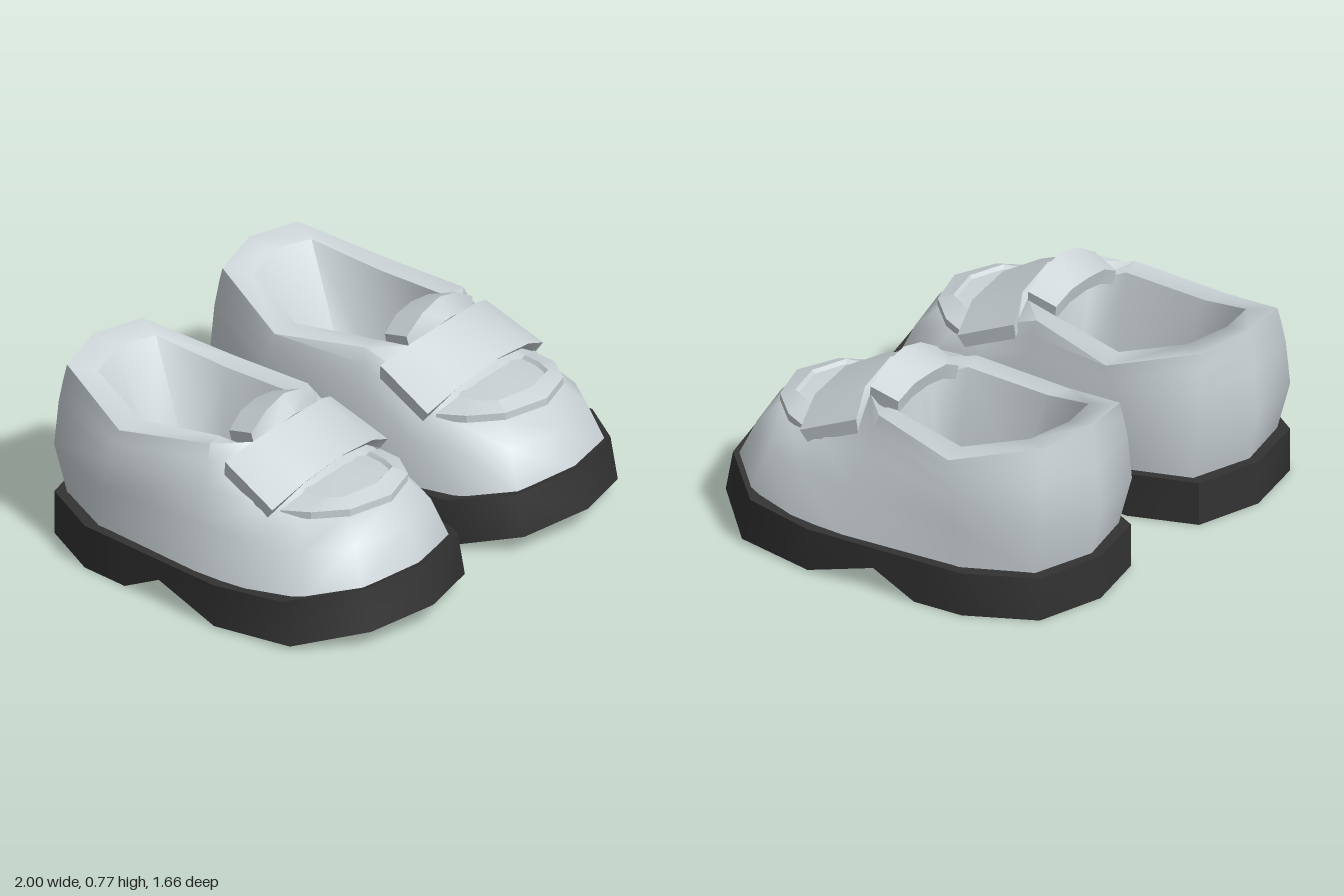
import * as THREE from 'three';
import { toCreasedNormals } from 'three/addons/utils/BufferGeometryUtils.js';

const leather = new THREE.MeshStandardMaterial({ color: 0xcbd3d7 });
leather.name = 'pale grey leather';
leather.side = THREE.DoubleSide;
const rubber = new THREE.MeshStandardMaterial({ color: 0x333333 });
rubber.name = 'dark rubber';

// Skin a grid of [x, y, z] rows; side = -1 mirrors the part in x
function loft(rows, side, { loopRows = false, loopPoints = false, caps = false, crease = 0.6 } = {}) {
  const pos = [];
  const same = (p, q) => p.every((v, k) => Math.abs(v - q[k]) < 1e-6);
  const tri = (a, b, c) => {
    if (same(a, b) || same(b, c) || same(a, c)) return;
    for (const p of side > 0 ? [a, b, c] : [a, c, b]) pos.push(p[0] * side, p[1], p[2]);
  };
  const n = rows.length, m = rows[0].length;
  for (let i = 0; i < (loopRows ? n : n - 1); i++) {
    for (let j = 0; j < (loopPoints ? m : m - 1); j++) {
      const r = rows[i], s = rows[(i + 1) % n], k = (j + 1) % m;
      tri(r[j], r[k], s[k]);
      tri(r[j], s[k], s[j]);
    }
  }
  if (caps) {
    const f = rows[0], l = rows[n - 1];
    for (let j = 1; j < m - 1; j++) {
      tri(l[0], l[j], l[j + 1]);
      tri(f[0], f[j + 1], f[j]);
    }
  }
  const geo = new THREE.BufferGeometry();
  geo.setAttribute('position', new THREE.Float32BufferAttribute(pos, 3));
  return toCreasedNormals(geo, crease);
}

const flipX = (row) => row.map(([x, y, z]) => [-x, y, z]);

// Sole stations: z top, z bottom, inner x, outer x, y top, y bottom
const soleStations = [
  [-0.83, -0.83, 0, 0, 0.18, 0],
  [-0.76, -0.76, -0.275, 0.285, 0.18, 0],
  [-0.5, -0.5, -0.385, 0.435, 0.18, 0],
  [-0.29, -0.29, -0.4, 0.46, 0.18, 0],
  [-0.11, -0.11, -0.415, 0.482, 0.18, 0.095],
  [0.18, 0.18, -0.44, 0.515, 0.18, 0.005],
  [0.48, 0.52, -0.43, 0.485, 0.195, 0.015],
  [0.72, 0.755, -0.3, 0.285, 0.24, 0.07],
  [0.795, 0.833, 0, 0, 0.26, 0.09],
];
const soleRows = soleStations.map(([zt, zb, xi, xo, yt, yb]) =>
  [[xo, yt, zt], [xi, yt, zt], [xi, yb, zb], [xo, yb, zb]]);

// Outer wall columns from heel to toe, each from the sole up to the opening
const wall = [
  [[0, 0.17, -0.785], [0, 0.38, -0.832], [0, 0.56, -0.812], [0, 0.65, -0.8], [0, 0.73, -0.79]],
  [[0.26, 0.17, -0.715], [0.28, 0.38, -0.765], [0.265, 0.56, -0.755], [0.25, 0.65, -0.745], [0.235, 0.712, -0.738]],
  [[0.4, 0.17, -0.46], [0.41, 0.35, -0.44], [0.4, 0.48, -0.42], [0.385, 0.55, -0.4], [0.37, 0.602, -0.385]],
  [[0.47, 0.17, 0.05], [0.425, 0.36, 0.04], [0.37, 0.5, 0.02], [0.335, 0.58, 0.01], [0.305, 0.642, 0]],
  [[0.475, 0.17, 0.3], [0.425, 0.36, 0.28], [0.36, 0.47, 0.24], [0.28, 0.55, 0.2], [0.2, 0.645, 0.12]],
  [[0.42, 0.19, 0.535], [0.37, 0.36, 0.485], [0.3, 0.45, 0.42], [0.22, 0.49, 0.32], [0.12, 0.64, 0.14]],
  [[0.27, 0.23, 0.705], [0.24, 0.38, 0.64], [0.18, 0.47, 0.56], [0.12, 0.49, 0.38], [0.06, 0.645, 0.15]],
  [[0, 0.245, 0.77], [0, 0.39, 0.712], [0, 0.475, 0.632], [0, 0.49, 0.4], [0, 0.65, 0.15]],
];
// Lining: inner edge of the thick padded rim, then edge of the insole, per column
const lip = [[0, 0.712, -0.68], [0.18, 0.695, -0.63], [0.265, 0.61, -0.365], [0.22, 0.635, -0.02],
  [0.16, 0.59, 0.1], [0.11, 0.585, 0.13], [0.05, 0.59, 0.14], [0, 0.59, 0.14]];
const insole = [[0, -0.48], [0.12, -0.44], [0.165, -0.3], [0.16, 0],
  [0.13, 0.08], [0.09, 0.1], [0.045, 0.11], [0, 0.11]];
// The inner side of the foot is narrower near the sole
const innerScale = [1, 0.98, 0.9, 0.86, 0.86, 0.9, 1, 1];

function upperColumn(i, inner) {
  const outer = wall[i].map(([x, y, z], j) => {
    const k = inner ? innerScale[i] + (1 - innerScale[i]) * (j / 4) : 1;
    return [x * k, y, z];
  });
  const column = [...outer, lip[i], [insole[i][0], 0.25, insole[i][1]], [0, 0.23, -0.15]];
  return inner ? flipX(column) : column;
}
const upperRows = [
  ...wall.map((_, i) => upperColumn(i, false)),
  ...[6, 5, 4, 3, 2, 1].map((i) => upperColumn(i, true)),
];

// Toe plate: raised rim around a shallow recess, half outline then mirrored
const plateHalf = [
  [[0.31, 0.47, 0.34], [0.21, 0.51, 0.37]],
  [[0.275, 0.485, 0.46], [0.19, 0.514, 0.455]],
  [[0.18, 0.495, 0.575], [0.155, 0.52, 0.52]],
  [[0, 0.502, 0.635], [0, 0.525, 0.56]],
].map(([o, n]) => [
  [o[0], o[1] - 0.03, o[2]], o, n,
  [n[0] * 0.95, n[1] - 0.014, n[2] - 0.01], [0, 0.515, 0.27],
]);
const plateRows = [...plateHalf, ...plateHalf.slice(0, 3).reverse().map(flipX)];

// Arched bar across the foot from half sections (centre to end)
function archRows(half) {
  const mirrored = half.slice(1).reverse().map(flipX);
  return [...mirrored, ...half];
}
// Sections run back top, front top, front bottom, back bottom
const strapRows = archRows([
  [[0, 0.705, 0.185], [0, 0.595, 0.4], [0, 0.575, 0.375], [0, 0.68, 0.165]],
  [[0.2, 0.672, 0.15], [0.21, 0.565, 0.385], [0.2, 0.54, 0.36], [0.19, 0.64, 0.13]],
  [[0.33, 0.605, 0.09], [0.36, 0.49, 0.34], [0.35, 0.445, 0.31], [0.325, 0.545, 0.085]],
]);
const tongueRows = archRows([
  [[0, 0.705, -0.015], [0, 0.77, 0.12], [0, 0.7, 0.175], [0, 0.645, 0]],
  [[0.1, 0.695, -0.01], [0.105, 0.745, 0.12], [0.1, 0.675, 0.155], [0.095, 0.63, 0.005]],
  [[0.185, 0.65, 0], [0.205, 0.685, 0.12], [0.195, 0.62, 0.13], [0.18, 0.59, 0.01]],
]);

function makeShoe(side) {
  const shoe = new THREE.Group();
  shoe.name = side > 0 ? 'leftShoe' : 'rightShoe';
  const add = (name, rows, material, options) => {
    const mesh = new THREE.Mesh(loft(rows, side, options), material);
    mesh.name = name;
    shoe.add(mesh);
  };
  add('sole', soleRows, rubber, { loopPoints: true, crease: 0.85 });
  add('upper', upperRows, leather, { loopRows: true, crease: 1.08 });
  add('toePlate', plateRows, leather, { crease: 0.35 });
  add('strap', strapRows, leather, { loopPoints: true, caps: true, crease: 0.5 });
  add('tongue', tongueRows, leather, { loopPoints: true, caps: true, crease: 0.5 });
  shoe.position.x = side * 0.485;
  return shoe;
}

export function createModel() {
  const model = new THREE.Group();
  model.name = 'pairOfShoes';
  for (const side of [1, -1]) model.add(makeShoe(side));
  return model;
}
